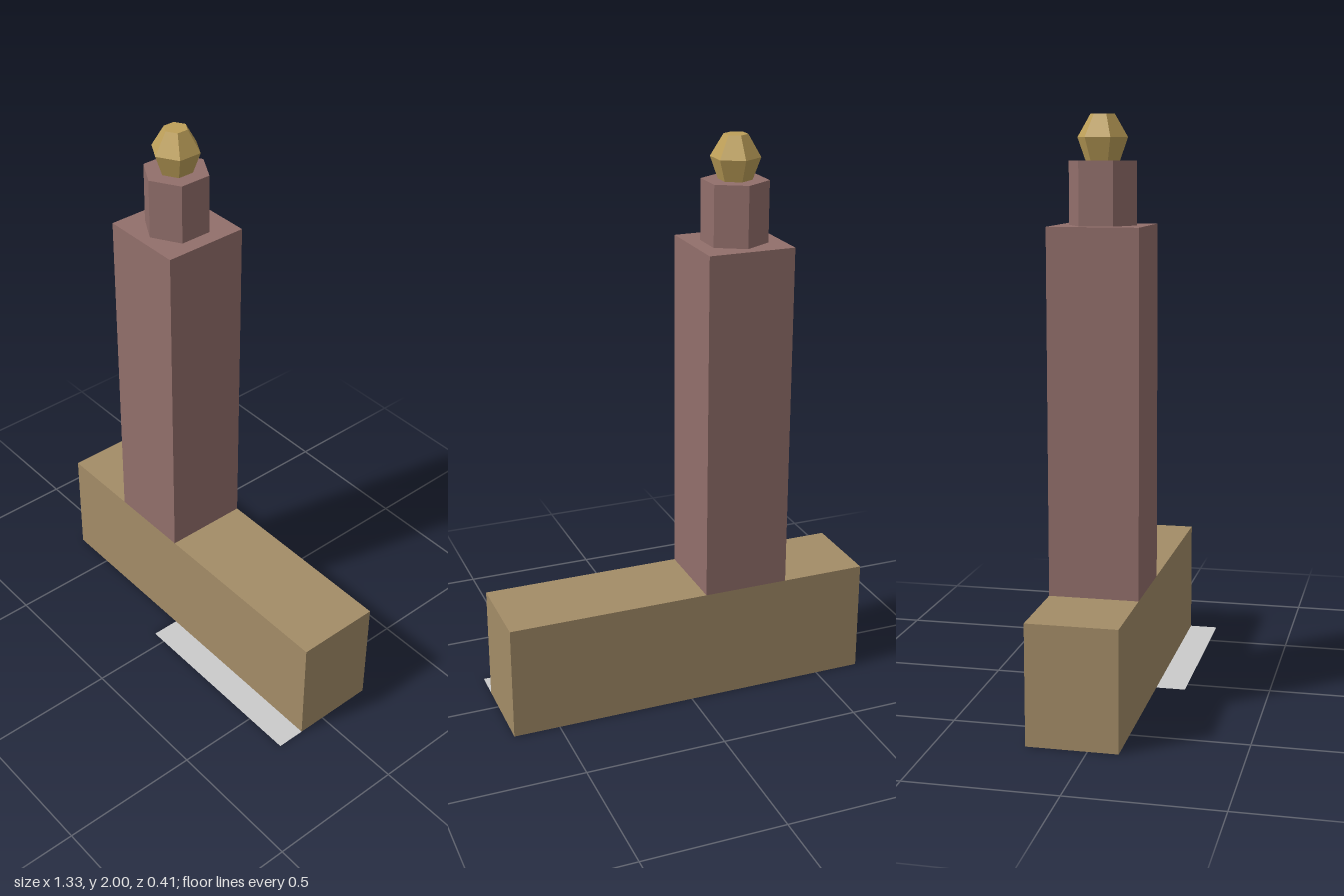
import * as THREE from 'three';

function mat(name, color) {
  const m = new THREE.MeshStandardMaterial({ color, side: THREE.DoubleSide, flatShading: true });
  m.name = name;
  return m;
}

// Box without its underside, given by its corner ranges
function openBox(x0, x1, y0, y1, z0, z1) {
  const g = new THREE.BoxGeometry(x1 - x0, y1 - y0, z1 - z0);
  const index = Array.from(g.index.array);
  index.splice(18, 6); // the -y face
  g.setIndex(index);
  g.clearGroups();
  g.translate((x0 + x1) / 2, (y0 + y1) / 2, (z0 + z1) / 2);
  return g;
}

export function createModel() {
  const model = new THREE.Group();
  model.name = 'towerBuilding';
  const sand = mat('sandstone', 0xa38c67);
  const brick = mat('mauveBrick', 0x926f6b);
  const gold = mat('gold', 0xbd9f59);
  const grey = mat('paleGrey', 0xcbcbcb);

  const add = (name, geometry, material) => {
    const mesh = new THREE.Mesh(geometry, material);
    mesh.name = name;
    model.add(mesh);
    return mesh;
  };

  const back = -0.205, front = 0.102;
  const towerX = -0.207, towerZ = (back + front) / 2;

  // Long low block, hollow below
  add('baseBlock', openBox(-0.665, 0.665, 0, 0.41, back, front), sand);

  // Square tower
  add('tower', openBox(-0.36, -0.053, 0.41, 1.64, back, front), brick);

  // Six-sided lantern stage
  add('lanternStage', new THREE.CylinderGeometry(0.115, 0.115, 0.21, 6), brick)
    .position.set(towerX, 1.745, towerZ);

  // Faceted finial: flares out, then tapers to a small flat top
  const profile = [[0, 1.85], [0.058, 1.85], [0.085, 1.925], [0.041, 2], [0, 2]]
    .map(([r, y]) => new THREE.Vector2(r, y));
  add('finial', new THREE.LatheGeometry(profile, 6), gold)
    .position.set(towerX, 0, towerZ);

  // Flat pavement strip along the front
  const pavement = new THREE.PlaneGeometry(0.718, 0.205 - front).rotateX(-Math.PI / 2);
  add('pavement', pavement, grey).position.set(0.306, 0, (0.205 + front) / 2);

  return model;
}
